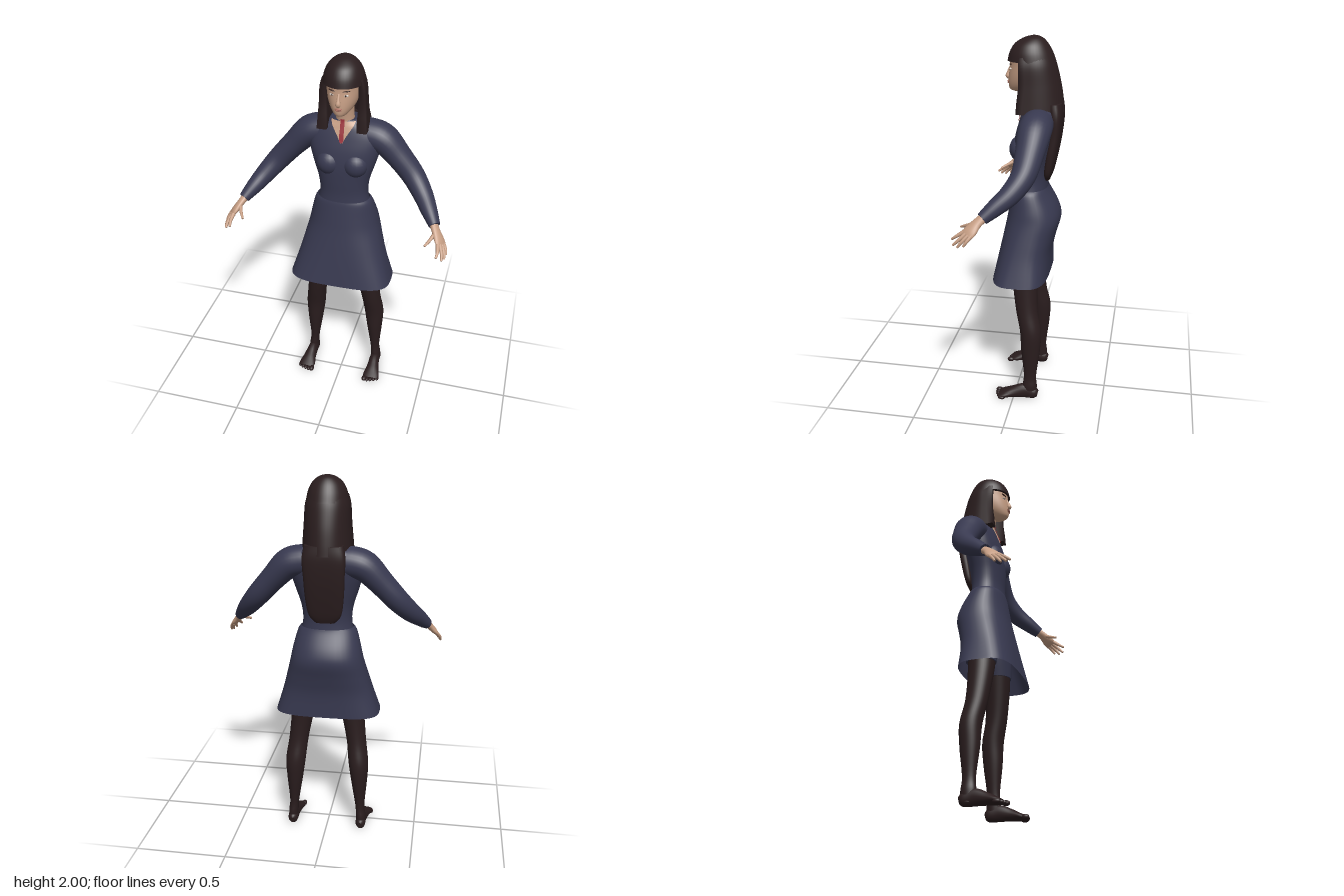
import * as THREE from 'three';

const mat = (name, color, side = THREE.FrontSide) => {
  const m = new THREE.MeshStandardMaterial({ color, side });
  m.name = name;
  return m;
};

// Catmull-Rom refinement of every column in a table of rows
function smooth(rows, steps = 5) {
  const out = [], last = rows.length - 1;
  for (let i = 0; i < last; i++) {
    const [a, b, c, d] = [rows[Math.max(i - 1, 0)], rows[i], rows[i + 1], rows[Math.min(i + 2, last)]];
    for (let k = 0; k < steps; k++) {
      const t = k / steps;
      out.push(b.map((_, n) => 0.5 * (2 * b[n] + (c[n] - a[n]) * t + (2 * a[n] - 5 * b[n] + 4 * c[n] - d[n]) * t * t
        + (3 * b[n] - a[n] - 3 * c[n] + d[n]) * t * t * t)));
    }
  }
  out.push(rows[last]);
  return out;
}

// Surface through rings of [x, y, z] points, wound outwards
function skinRings(rings, { closed = true, caps = true } = {}) {
  const n = rings[0].length, pos = rings.flat(2), idx = [];
  const quad = (a, b, c, d) => idx.push(a, b, c, a, c, d);
  for (let i = 0; i < rings.length - 1; i++)
    for (let j = 0; j < (closed ? n : n - 1); j++) {
      const k = (j + 1) % n;
      quad(i * n + j, i * n + k, (i + 1) * n + k, (i + 1) * n + j);
    }
  if (caps) [0, rings.length - 1].forEach((r, end) => {
    const s = pos.length / 3;
    pos.push(...rings[r].flat());
    for (let j = 0; j < n / 2 - 1; j++) {
      const q = [s + j, s + j + 1, s + n - 2 - j, s + n - 1 - j];
      quad(...(end ? q : q.reverse()));
    }
  });
  let volume = 0;
  const v = i => new THREE.Vector3().fromArray(pos, i * 3);
  for (let i = 0; i < idx.length; i += 3) volume += v(idx[i]).dot(v(idx[i + 1]).cross(v(idx[i + 2])));
  if (volume < 0) idx.reverse();
  const g = new THREE.BufferGeometry();
  g.setAttribute('position', new THREE.Float32BufferAttribute(pos, 3));
  g.setIndex(idx);
  g.computeVertexNormals();
  return g;
}

// Level rings from rows [y, centre x, front z, back z, half width, roundness exponent]
function body(rows, s = 1, options) {
  return skinRings(smooth(rows).map(([y, cx, zf, zb, rx, n = 2]) =>
    Array.from({ length: 40 }, (_, j) => {
      const t = j / 40 * Math.PI * 2, c = Math.cos(t), d = Math.sin(t);
      const p = w => Math.sign(w) * Math.abs(w) ** (2 / n);
      return [s * (cx + rx * p(c)), y, (zf + zb) / 2 - (zf - zb) / 2 * p(d)];
    })), options);
}

// Rings square to a path of rows [x, y, z, radius along side, other radius]
function limb(rows, side, s = 1, seg = 20) {
  const path = smooth(rows), at = i => new THREE.Vector3(...path[i].slice(0, 3));
  return skinRings(path.map((r, i) => {
    const T = at(Math.min(i + 1, path.length - 1)).sub(at(Math.max(i - 1, 0))).normalize();
    const U = new THREE.Vector3(...side).projectOnPlane(T).normalize(), V = T.clone().cross(U);
    return Array.from({ length: seg }, (_, j) => {
      const t = j / seg * Math.PI * 2;
      const p = at(i).addScaledVector(U, Math.cos(t) * r[3]).addScaledVector(V, Math.sin(t) * r[4]);
      return [s * p.x, p.y, p.z];
    });
  }));
}

export function createModel() {
  const model = new THREE.Group();
  model.name = 'standingWoman';
  const dress = mat('navy cloth', 0x383950, THREE.DoubleSide);
  const hair = mat('dark brown hair', 0x2b1e1f);
  const stocking = mat('dark stockings', 0x2a1d1e);
  const skin = mat('skin', 0xc69e84, THREE.DoubleSide);
  const red = mat('red ribbon', 0x9a2f38, THREE.DoubleSide);
  const lip = mat('lips', 0xa66a5c);
  const white = mat('eye white', 0xd8d0c8);
  const dark = mat('iris and brow', 0x3a2620);
  const add = (name, geometry, material) => {
    const m = new THREE.Mesh(geometry, material);
    m.name = name;
    model.add(m);
    return m;
  };
  const ball = (name, material, p, r) => {
    const m = add(name, new THREE.SphereGeometry(1, 20, 14), material);
    m.position.set(...p);
    m.scale.set(...r);
    return m;
  };

  // Dress bodice and flared skirt
  const torso = [
    [1.17, 0, 0.03, -0.155, 0.145, 2.2], [1.25, 0, 0.024, -0.15, 0.13, 2.2], [1.33, 0, 0.026, -0.156, 0.138, 2.2],
    [1.42, 0, 0.026, -0.172, 0.165, 2.3], [1.5, 0, 0.015, -0.186, 0.187, 2.4], [1.57, 0, -0.004, -0.196, 0.195, 2.4],
    [1.62, 0, -0.02, -0.195, 0.17, 2.3], [1.65, 0, -0.03, -0.18, 0.11, 2.1], [1.665, 0, -0.035, -0.16, 0.073, 2]];
  add('bodice', body(torso), dress);
  add('skirt', body([
    [0.72, 0, 0.125, -0.175, 0.285, 3.4], [0.85, 0, 0.1, -0.18, 0.245, 2.8], [0.95, 0, 0.08, -0.202, 0.218, 2.5],
    [1.04, 0, 0.062, -0.225, 0.195, 2.3], [1.11, 0, 0.05, -0.21, 0.18, 2.2], [1.19, 0, 0.036, -0.166, 0.158, 2.2],
    [1.215, 0, 0.03, -0.155, 0.14, 2.2]], 1, { caps: false }), dress);

  // Open neckline and ribbon follow the chest surface
  const fine = smooth(torso, 12);
  const chestZ = (x, y) => {
    const [, , zf, zb, rx, n] = fine.reduce((a, b) => Math.abs(b[0] - y) < Math.abs(a[0] - y) ? b : a);
    return (zf + zb) / 2 + (zf - zb) / 2 * (1 - Math.min(Math.abs(x) / rx, 1) ** n) ** (1 / n);
  };
  const plate = (rows, lift) => skinRings(smooth(rows, 4).map(([y, w]) =>
    Array.from({ length: 13 }, (_, j) => {
      const x = w * (j / 6 - 1);
      return [x, y, chestZ(x, y) + lift];
    })), { closed: false, caps: false });
  add('neckline', plate([[1.555, 0.006], [1.58, 0.018], [1.61, 0.036], [1.64, 0.055], [1.662, 0.064]], 0.004), skin);
  add('ribbon', plate([[1.558, 0.006], [1.575, 0.012], [1.62, 0.011], [1.675, 0.011]], 0.009), red);

  // Neck and head
  add('neck', body([[1.6, 0, -0.035, -0.135, 0.055], [1.68, 0, -0.03, -0.13, 0.047], [1.76, 0, -0.015, -0.13, 0.048]]), skin);
  add('head', body([
    [1.718, 0, 0.03, -0.02, 0.016], [1.73, 0, 0.052, -0.07, 0.037], [1.76, 0, 0.058, -0.13, 0.062],
    [1.8, 0, 0.056, -0.155, 0.078], [1.85, 0, 0.05, -0.165, 0.086], [1.9, 0, 0.046, -0.16, 0.086],
    [1.95, 0, 0.01, -0.12, 0.06]]), skin);
  add('nose', limb([[0, 1.845, 0.046, 0.007, 0.006], [0, 1.815, 0.056, 0.009, 0.01],
    [0, 1.793, 0.062, 0.014, 0.012], [0, 1.782, 0.056, 0.008, 0.006]], [1, 0, 0], 1, 14), skin);
  ball('upperLip', lip, [0, 1.769, 0.056], [0.02, 0.004, 0.009]);
  ball('lowerLip', lip, [0, 1.761, 0.055], [0.017, 0.005, 0.009]);

  // Fringe and crown
  add('hairCrown', body([
    [1.875, 0, 0.062, -0.186, 0.108], [1.92, 0, 0.05, -0.168, 0.098], [1.96, 0, 0.024, -0.145, 0.078],
    [1.988, 0, -0.02, -0.118, 0.046], [2, 0, -0.06, -0.09, 0.012]]), hair);

  // Hair hanging around the sides and back, open at the face
  add('hairCurtain', skinRings(smooth([ // y, front edge z, back z, half width, thickness
    [1.62, 0.0, -0.235, 0.13, 0.052], [1.68, -0.004, -0.228, 0.125, 0.046], [1.76, -0.012, -0.215, 0.119, 0.036],
    [1.85, -0.01, -0.193, 0.113, 0.028], [1.9, -0.01, -0.175, 0.1, 0.02]]).map(([y, zf, zb, rx, w]) => {
    const arc = (r, b) => [[r, y, zf], [r, y, zf - 0.03],
      ...Array.from({ length: 25 }, (_, j) => {
        const t = j / 24 * Math.PI;
        return [r * Math.cos(t), y, -0.07 + (b + 0.07) * Math.sin(t)];
      }), [-r, y, zf - 0.03], [-r, y, zf]];
    return [...arc(rx, zb), ...arc(rx - w, zb + w).reverse()];
  })), hair);
  add('longBackHair', body([
    [1.255, 0, -0.14, -0.165, 0.05, 2.5], [1.3, 0, -0.135, -0.182, 0.085, 3], [1.4, 0, -0.145, -0.205, 0.1, 3],
    [1.5, 0, -0.16, -0.222, 0.105, 3], [1.6, 0, -0.165, -0.231, 0.11, 3], [1.67, 0, -0.15, -0.226, 0.1, 2.6]]), hair);

  for (const s of [1, -1]) {
    const side = s > 0 ? 'left' : 'right';

    // Face details
    ball(side + 'Eye', white, [s * 0.034, 1.836, 0.039], [0.014, 0.0055, 0.008]);
    ball(side + 'Iris', dark, [s * 0.034, 1.836, 0.044], [0.005, 0.005, 0.004]);
    ball(side + 'Brow', dark, [s * 0.036, 1.858, 0.041], [0.02, 0.003, 0.006]).rotation.set(0, s * 0.3, s * 0.12);

    // Bust
    ball(side + 'Bust', dress, [s * 0.07, 1.43, -0.02], [0.068, 0.07, 0.062]);

    // Sleeve
    add(side + 'Sleeve', limb([
      [0.06, 1.575, -0.11, 0.08, 0.075], [0.13, 1.572, -0.11, 0.084, 0.08], [0.2, 1.55, -0.108, 0.085, 0.078],
      [0.28, 1.47, -0.1, 0.073, 0.066], [0.365, 1.375, -0.082, 0.062, 0.06], [0.43, 1.3, -0.03, 0.053, 0.052],
      [0.478, 1.245, 0.035, 0.043, 0.042], [0.517, 1.2, 0.09, 0.032, 0.029]], [0, 0, 1], s, 28), dress);

    // Hand with fingers
    const spread = [0.025, -0.01, -0.05];
    add(side + 'Palm', limb([
      [0.505, 1.212, 0.075, 0.024, 0.02], [0.53, 1.18, 0.113, 0.027, 0.018], [0.553, 1.148, 0.14, 0.036, 0.016],
      [0.566, 1.13, 0.156, 0.034, 0.01]], spread, s), skin);
    const fingers = {
      Thumb: [[0.528, 1.178, 0.125], [0.507, 1.157, 0.17], [0.487, 1.141, 0.203]],
      Index: [[0.55, 1.142, 0.172], [0.556, 1.118, 0.208], [0.552, 1.1, 0.234]],
      Middle: [[0.56, 1.136, 0.162], [0.577, 1.103, 0.197], [0.58, 1.08, 0.222]],
      Ring: [[0.568, 1.132, 0.147], [0.586, 1.1, 0.177], [0.591, 1.074, 0.198]],
      Little: [[0.572, 1.132, 0.13], [0.59, 1.105, 0.152], [0.595, 1.082, 0.168]]
    };
    for (const [name, pts] of Object.entries(fingers))
      add(side + name + 'Finger', limb(pts.map((p, i) => [...p, 0.011 - i * 0.0025, 0.011 - i * 0.0025]), spread, s, 10), skin);

    // Shorts under the skirt, and stockinged leg
    add(side + 'ShortsLeg', body([[0.765, 0.131, 0.024, -0.137, 0.074], [0.87, 0.112, 0.03, -0.15, 0.088],
      [1.0, 0.09, 0.035, -0.17, 0.096], [1.16, 0.07, 0.02, -0.14, 0.07]], s), dress);
    add(side + 'Leg', body([
      [0.02, 0.198, -0.06, -0.13, 0.025], [0.08, 0.196, -0.053, -0.133, 0.027], [0.15, 0.19, -0.058, -0.128, 0.026],
      [0.3, 0.184, -0.042, -0.146, 0.044], [0.42, 0.178, -0.034, -0.151, 0.055], [0.55, 0.162, -0.008, -0.127, 0.054],
      [0.72, 0.137, 0.015, -0.125, 0.064], [0.85, 0.115, 0.02, -0.14, 0.078]], s), stocking);

    // Foot and toes
    add(side + 'Foot', limb([
      [0.197, 0.032, -0.138, 0.012, 0.02], [0.197, 0.036, -0.118, 0.027, 0.035], [0.197, 0.045, -0.065, 0.029, 0.044],
      [0.2, 0.033, 0, 0.036, 0.032], [0.202, 0.021, 0.05, 0.047, 0.02], [0.203, 0.014, 0.08, 0.044, 0.012]],
      [1, 0, 0], s), stocking);
    for (let i = 0; i < 5; i++) {
      const r = i ? 0.0105 : 0.014;
      ball(side + 'Toe' + (i + 1), stocking, [s * (0.166 + i * 0.019), r, 0.087 - i * i * 0.0015], [r, r, 0.02]);
    }
  }
  return model;
}
